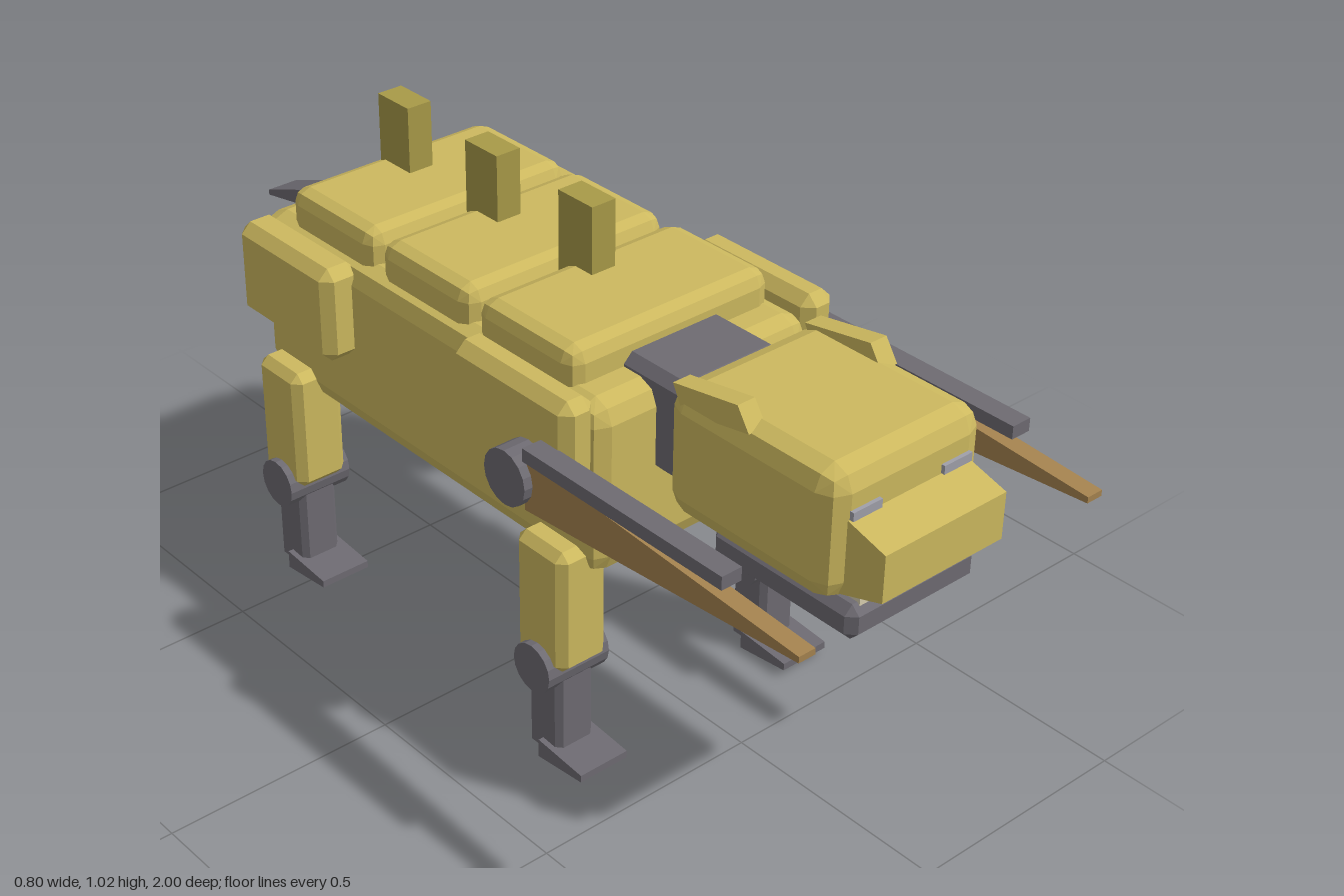
import * as THREE from 'three';
import { ConvexGeometry } from 'three/addons/geometries/ConvexGeometry.js';

const paint = (color) => new THREE.MeshStandardMaterial({ color, flatShading: true });
const yellow = paint(0xcdb95f);
const olive = paint(0xa89a48);
const grey = paint(0x6e6b72);
const bronze = paint(0xa5834f);
const silver = paint(0xa0a0aa);
const ivory = paint(0xd8cfb0);

// Directions from a corner centre: one flat chamfer, or a rounder two-step bevel
const CHAMFER = [[1, 0, 0], [0, 1, 0], [0, 0, 1]];
const h = Math.SQRT1_2, t = 1 / Math.sqrt(3);
const ROUND = [...CHAMFER, [h, h, 0], [h, 0, h], [0, h, h], [t, t, t]];

// Bevelled box given by its [min, max] range on each axis
function block([x0, x1], [y0, y1], [z0, z1], bevel, dirs = CHAMFER) {
  const half = [(x1 - x0) / 2, (y1 - y0) / 2, (z1 - z0) / 2];
  const points = [];
  for (const sx of [-1, 1]) for (const sy of [-1, 1]) for (const sz of [-1, 1]) {
    for (const d of dirs) {
      const p = half.map((v, i) => v - bevel + bevel * d[i]);
      points.push(new THREE.Vector3(sx * p[0], sy * p[1], sz * p[2]));
    }
  }
  const geometry = new ConvexGeometry(points);
  geometry.translate((x0 + x1) / 2, (y0 + y1) / 2, (z0 + z1) / 2);
  return geometry;
}

// Plain box from ranges
function box([x0, x1], [y0, y1], [z0, z1]) {
  return new THREE.BoxGeometry(x1 - x0, y1 - y0, z1 - z0)
    .translate((x0 + x1) / 2, (y0 + y1) / 2, (z0 + z1) / 2);
}

// Convex side outline of [z, y] points, carried across x
function prism([x0, x1], outline) {
  return new ConvexGeometry(outline.flatMap(([z, y]) =>
    [new THREE.Vector3(x0, y, z), new THREE.Vector3(x1, y, z)]));
}

// Round joint lying along x
function joint([x0, x1], y, z, radius) {
  return new THREE.CylinderGeometry(radius, radius, x1 - x0, 16)
    .rotateZ(Math.PI / 2).translate((x0 + x1) / 2, y, z);
}

export function createModel() {
  const model = new THREE.Group();
  model.name = 'robotBeast';
  const add = (name, geometry, material, parent = model) => {
    const mesh = new THREE.Mesh(geometry, material);
    mesh.name = name;
    parent.add(mesh);
  };

  // Torso
  add('body', block([-0.277, 0.277], [0.437, 0.81], [-0.68, 0.37], 0.045, ROUND), yellow);
  add('bellyPlate', block([-0.22, 0.22], [0.403, 0.47], [-0.62, 0.31], 0.03), grey);

  // Back plates, each with an upright fin
  [-0.46, -0.16, 0.14].forEach((z, i) => {
    add('backPlate', block([-0.25, 0.25], [0.77, 0.882], [z - 0.14, z + 0.14], 0.032, ROUND), yellow);
    const fin = -0.535 + i * 0.2825;
    add('backFin', box([-0.029, 0.029], [0.8, 1.025], [fin - 0.049, fin + 0.049]), olive);
  });

  // Tail
  add('tail', prism([-0.037, 0.037],
    [[-0.62, 0.795], [-0.62, 0.71], [-1, 0.638], [-1, 0.65]]), grey);

  // Neck and head
  add('neck', block([-0.125, 0.125], [0.62, 0.835], [0.25, 0.445], 0.02), grey);
  add('head', block([-0.19, 0.19], [0.615, 0.885], [0.46, 0.88], 0.045, ROUND), yellow);
  add('snout', prism([-0.15, 0.15],
    [[0.8, 0.81], [0.8, 0.61], [0.968, 0.665], [0.968, 0.763]]), yellow);
  add('teeth', box([-0.13, 0.13], [0.6, 0.64], [0.7, 0.9]), ivory);
  add('jaw', block([-0.16, 0.16], [0.547, 0.62], [0.555, 0.912], 0.018), grey);

  for (const side of [1, -1]) {
    const across = (a, b) => side > 0 ? [a, b] : [-b, -a];
    const label = side > 0 ? 'left' : 'right';

    // Face details
    add(label + 'Eye', box(across(0.077, 0.147), [0.789, 0.807], [0.84, 0.888]), silver);
    add(label + 'Ear', prism(across(0.142, 0.183),
      [[0.638, 0.917], [0.668, 0.872], [0.5, 0.84], [0.475, 0.888]]), yellow);

    // Shoulder and hip armour
    add(label + 'Shoulder', block(across(0.262, 0.34), [0.6, 0.842], [0.035, 0.368], 0.022), yellow);
    add(label + 'Hip', block(across(0.25, 0.34), [0.6, 0.808], [-0.665, -0.357], 0.022), yellow);

    // Forward-pointing side weapon
    const weapon = new THREE.Group();
    weapon.name = label + 'Weapon';
    model.add(weapon);
    add('pivot', joint(across(0.28, 0.398), 0.675, 0.265, 0.058), grey, weapon);
    add('bar', box(across(0.338, 0.384), [0.721, 0.749], [0.3, 0.82]), grey, weapon);
    add('blade', prism(across(0.341, 0.379),
      [[0.3, 0.73], [0.3, 0.615], [1, 0.672], [1, 0.685]]), bronze, weapon);

    // Legs
    for (const [name, z] of [['FrontLeg', 0.273], ['BackLeg', -0.57]]) {
      const leg = new THREE.Group();
      leg.name = label + name;
      leg.position.z = z;
      model.add(leg);
      add('upperLeg', block(across(0.21, 0.33), [0.228, 0.503], [-0.07, 0.07], 0.018), yellow, leg);
      add('knee', joint(across(0.196, 0.346), 0.223, 0, 0.053), grey, leg);
      add('lowerLeg', block(across(0.226, 0.318), [0.005, 0.22], [-0.047, 0.047], 0.012), grey, leg);
      add('foot', prism(across(0.213, 0.33),
        [[0, 0.041], [0, 0], [0.127, 0.014], [0.127, 0.03]]), grey, leg);
    }
  }
  return model;
}
